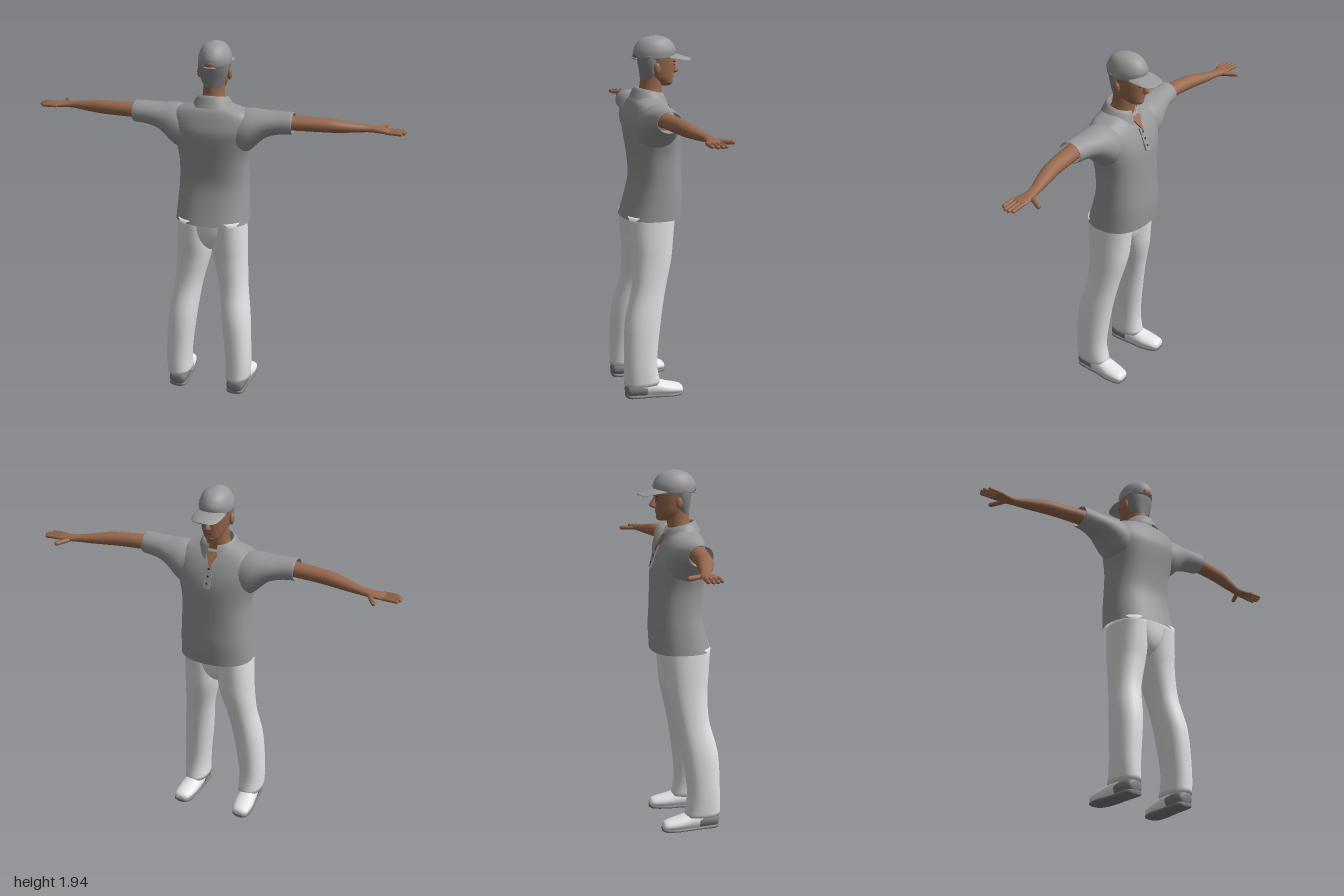
import * as THREE from 'three';

const mat = (name, color, side = THREE.FrontSide) =>
  Object.assign(new THREE.MeshStandardMaterial({ color, side }), { name });

// Skin a tube through cross-sections [position, centre1, centre2, radius1, radius2].
// Transverse axes: y -> (x, z), x -> (z, y), z -> (y, x).
function loft(axis, sections, { n = 28, power = 2, caps = true, steps = 4, gap = 0 } = {}) {
  const rows = [];
  const last = sections.length - 1;
  for (let i = 0; i < last; i++) {
    const [a, b, c, d] = [i - 1, i, i + 1, i + 2].map(k => sections[Math.min(last, Math.max(0, k))]);
    for (let s = 0; s < steps; s++) {
      const t = s / steps;
      rows.push(b.map((v, k) => v + 0.5 * t * (c[k] - a[k] + t * (2 * a[k] - 5 * v + 4 * c[k] - d[k]
        + t * (3 * (v - c[k]) + d[k] - a[k])))));
    }
  }
  rows.push(sections[last]);
  const place = { y: (p, u, v) => [u, p, v], x: (p, u, v) => [p, v, u], z: (p, u, v) => [v, u, p] }[axis];
  const bend = w => Math.sign(w) * Math.abs(w) ** (2 / power);
  const cols = gap ? n + 1 : n;
  const pos = [], index = [];
  for (const [p, c1, c2, r1, r2] of rows) {
    for (let j = 0; j < cols; j++) {
      const t = -Math.PI / 2 + gap + (j / n) * (2 * Math.PI - 2 * gap);
      pos.push(...place(p, c1 + r1 * bend(Math.cos(t)), c2 + r2 * bend(Math.sin(t))));
    }
  }
  for (let i = 0; i < rows.length - 1; i++) {
    for (let j = 0; j < n; j++) {
      const a = i * cols + j, b = i * cols + (j + 1) % cols;
      index.push(a, a + cols, b, b, a + cols, b + cols);
    }
  }
  if (caps) {
    for (const end of [0, rows.length - 1]) {
      const centre = pos.length / 3;
      pos.push(...place(...rows[end].slice(0, 3)));
      for (let j = 0; j < n; j++) {
        const a = end * cols + j, b = end * cols + (j + 1) % cols;
        index.push(centre, ...(end ? [b, a] : [a, b]));
      }
    }
  }
  const g = new THREE.BufferGeometry();
  g.setAttribute('position', new THREE.Float32BufferAttribute(pos, 3));
  g.setIndex(index);
  g.computeVertexNormals();
  return g;
}

// Shift y by a rule of the vertex position
function shiftY(g, rule) {
  const p = g.attributes.position;
  for (let i = 0; i < p.count; i++) p.setY(i, p.getY(i) + rule(p.getX(i), p.getY(i), p.getZ(i)));
  g.computeVertexNormals();
  return g;
}

function mirrored(source) {
  const g = source.clone().scale(-1, 1, 1);
  const ix = g.index.array;
  for (let i = 0; i < ix.length; i += 3) [ix[i], ix[i + 1]] = [ix[i + 1], ix[i]];
  g.computeVertexNormals();
  return g;
}

const blob = (x, y, z, rx, ry, rz) => new THREE.SphereGeometry(1, 16, 10).scale(rx, ry, rz).translate(x, y, z);

function finger(from, to, r) {
  const a = new THREE.Vector3(...from), b = new THREE.Vector3(...to), d = b.clone().sub(a);
  const turn = new THREE.Quaternion().setFromUnitVectors(new THREE.Vector3(0, 1, 0), d.clone().normalize());
  return new THREE.CapsuleGeometry(r, d.length() - 2 * r, 4, 8).applyQuaternion(turn)
    .translate(...a.add(b).multiplyScalar(0.5).toArray());
}

export function createModel() {
  const model = new THREE.Group();
  model.name = 'standingMan';
  const skin = mat('skin', 0x98694e), lip = mat('lips', 0x7d5040), hair = mat('hair', 0x858585);
  const shirt = mat('shirt', 0x989898, THREE.DoubleSide), cap = mat('cap', 0x9a9a9a, THREE.DoubleSide);
  const trousers = mat('trousers', 0xe2e2e2), shoe = mat('shoe', 0xe6e6e6);
  const sole = mat('sole', 0x7c7c7c), dark = mat('darkDetail', 0x3a2c26);

  const add = (name, g, m) => {
    const mesh = new THREE.Mesh(g, m);
    mesh.name = name;
    model.add(mesh);
  };
  const pair = (name, g, m) => {
    add(name + 'Left', g, m);
    add(name + 'Right', mirrored(g), m);
  };

  // Shirt
  add('shirtBody', loft('y', [
    [0.98, 0, 0.018, 0.2, 0.162], [1.1, 0, -0.003, 0.193, 0.147], [1.2, 0, -0.01, 0.187, 0.135],
    [1.32, 0, -0.003, 0.187, 0.138], [1.42, 0, 0.007, 0.208, 0.143], [1.49, 0, 0.018, 0.23, 0.137],
    [1.55, 0, 0.025, 0.23, 0.115], [1.59, 0, 0.032, 0.19, 0.093], [1.612, 0, 0.035, 0.13, 0.075],
    [1.63, 0, 0.03, 0.08, 0.06]], { n: 40, power: 2.4, caps: false }), shirt);
  pair('sleeve', loft('x', [
    [0.14, 0.02, 1.48, 0.11, 0.115], [0.2, 0.02, 1.492, 0.112, 0.112], [0.28, 0.022, 1.527, 0.09, 0.073],
    [0.35, 0.027, 1.54, 0.074, 0.06], [0.42, 0.03, 1.545, 0.067, 0.057], [0.421, 0.03, 1.545, 0.061, 0.051],
    [0.36, 0.03, 1.545, 0.06, 0.05]], { caps: false }), shirt);
  add('collar', shiftY(loft('y', [
    [1.585, 0, 0.02, 0.118, 0.106], [1.652, 0, 0.02, 0.08, 0.076], [1.61, 0, 0.02, 0.072, 0.068]],
    { caps: false, gap: 0.28, steps: 3 }), (x, y, z) => 0.25 * z), shirt);
  add('placket', new THREE.BoxGeometry(0.036, 0.125, 0.008).rotateX(0.38).translate(0, 1.487, -0.121), shirt);
  for (const [y, z] of [[1.525, -0.111], [1.49, -0.125], [1.455, -0.139]]) {
    add('button', blob(0, y, z, 0.006, 0.006, 0.004), dark);
  }
  const opening = new THREE.Shape([[-0.035, 0.04], [0, -0.045], [0.035, 0.04]].map(p => new THREE.Vector2(...p)));
  add('neckOpening', new THREE.ExtrudeGeometry(opening, { depth: 0.008, bevelEnabled: false })
    .rotateX(0.64).translate(0, 1.572, -0.086), skin);

  // Arms and hands
  pair('arm', loft('x', [
    [0.34, 0.033, 1.545, 0.05, 0.04], [0.45, 0.022, 1.545, 0.047, 0.038], [0.55, 0.012, 1.543, 0.043, 0.037],
    [0.63, 0, 1.54, 0.042, 0.035], [0.72, -0.022, 1.533, 0.035, 0.027], [0.8, -0.042, 1.528, 0.027, 0.019],
    [0.85, -0.047, 1.525, 0.034, 0.016], [0.9, -0.042, 1.522, 0.04, 0.012], [0.915, -0.042, 1.521, 0.036, 0.007]],
    { n: 20 }), skin);
  [[-0.073, 0.99], [-0.052, 1], [-0.03, 0.997], [-0.007, 0.98]].forEach(([z, tip]) =>
    pair('finger', finger([0.89, 1.522, z * 0.95], [tip, 1.52, z], 0.0095), skin));
  pair('thumb', finger([0.835, 1.523, -0.055], [0.888, 1.52, -0.148], 0.012), skin);

  // Trousers
  pair('trouserLeg', loft('y', [
    [0.075, 0.168, 0.105, 0.068, 0.1], [0.2, 0.169, 0.114, 0.07, 0.09], [0.42, 0.152, 0.097, 0.077, 0.098],
    [0.6, 0.128, 0.058, 0.077, 0.093], [0.75, 0.105, 0.037, 0.09, 0.108], [0.85, 0.096, 0.035, 0.096, 0.118],
    [1, 0.095, 0.033, 0.09, 0.13]], { power: 2.2 }), trousers);
  add('trouserSeat', loft('y', [
    [0.82, 0, 0.035, 0.03, 0.06], [0.86, 0, 0.035, 0.085, 0.1], [0.92, 0, 0.034, 0.15, 0.122],
    [1, 0, 0.033, 0.182, 0.13]]), trousers);

  // Shoes
  const flat = (x, y) => Math.max(0, 0.012 - y);
  pair('shoe', shiftY(loft('z', [
    [-0.118, 0.028, 0.182, 0.012, 0.02], [-0.1, 0.033, 0.182, 0.025, 0.045], [-0.03, 0.04, 0.177, 0.036, 0.057],
    [0.05, 0.05, 0.17, 0.05, 0.054], [0.12, 0.05, 0.166, 0.05, 0.05], [0.18, 0.045, 0.165, 0.038, 0.044],
    [0.193, 0.042, 0.165, 0.02, 0.024]], { n: 20 }), flat), shoe);
  pair('heelCounter', shiftY(loft('z', [
    [0.085, 0.045, 0.167, 0.045, 0.054], [0.13, 0.047, 0.166, 0.046, 0.053], [0.182, 0.045, 0.165, 0.04, 0.046],
    [0.197, 0.042, 0.165, 0.02, 0.026]], { n: 20 }), flat), sole);
  pair('shoeSole', loft('z', [
    [-0.12, 0.014, 0.182, 0.009, 0.02], [-0.1, 0.011, 0.182, 0.011, 0.045], [-0.03, 0.011, 0.177, 0.011, 0.059],
    [0.06, 0.011, 0.17, 0.011, 0.053], [0.17, 0.012, 0.165, 0.012, 0.05], [0.195, 0.013, 0.165, 0.011, 0.028]],
    { n: 20, power: 3 }), sole);

  // Head and neck
  add('neck', loft('y', [
    [1.57, 0, 0.028, 0.075, 0.07], [1.62, 0, 0.02, 0.066, 0.064], [1.67, 0, 0.01, 0.057, 0.06],
    [1.74, 0, 0.004, 0.056, 0.06]]), skin);
  add('head', loft('y', [
    [1.676, 0, -0.065, 0.02, 0.03], [1.688, 0, -0.058, 0.04, 0.048], [1.72, 0, -0.035, 0.059, 0.076],
    [1.76, 0, -0.027, 0.069, 0.089], [1.8, 0, -0.025, 0.075, 0.095], [1.84, 0, -0.02, 0.077, 0.096],
    [1.89, 0, -0.015, 0.055, 0.075]]), skin);
  add('hair', loft('y', [
    [1.705, 0, 0.03, 0.045, 0.035], [1.75, 0, 0.02, 0.068, 0.05], [1.8, 0, 0.022, 0.08, 0.056],
    [1.84, 0, 0.022, 0.08, 0.06]]), hair);
  pair('ear', blob(0.081, 1.773, -0.003, 0.012, 0.03, 0.018), skin);
  add('nose', loft('y', [
    [1.742, 0, -0.118, 0.01, 0.01], [1.75, 0, -0.124, 0.017, 0.018], [1.762, 0, -0.126, 0.014, 0.019],
    [1.79, 0, -0.116, 0.008, 0.011], [1.805, 0, -0.11, 0.006, 0.008]], { n: 12 }), skin);
  add('mouth', blob(0, 1.724, -0.108, 0.024, 0.006, 0.006), lip);
  add('chin', blob(0, 1.694, -0.092, 0.024, 0.017, 0.018), skin);
  pair('eye', blob(0.028, 1.786, -0.109, 0.011, 0.005, 0.005), dark);
  pair('eyebrow', blob(0.03, 1.803, -0.11, 0.017, 0.004, 0.006), dark);

  // Cap
  add('capCrown', loft('y', [
    [1.822, 0, -0.009, 0.083, 0.106], [1.86, 0, -0.012, 0.084, 0.114], [1.9, 0, -0.012, 0.07, 0.095],
    [1.925, 0, -0.012, 0.047, 0.064], [1.938, 0, -0.012, 0.012, 0.016]], { n: 32 }), cap);
  add('capButton', blob(0, 1.937, -0.012, 0.008, 0.004, 0.008), cap);
  add('capBrim', shiftY(loft('z', [
    [-0.207, 1.814, 0, 0.003, 0.012], [-0.198, 1.815, 0, 0.005, 0.042], [-0.17, 1.822, 0, 0.006, 0.067],
    [-0.12, 1.837, 0, 0.006, 0.079], [-0.07, 1.842, 0, 0.006, 0.078]]), x => -2.8 * x * x), cap);
  add('capBackOpening', blob(0, 1.836, 0.094, 0.028, 0.018, 0.012), skin);
  add('capStrap', blob(0, 1.822, 0.096, 0.034, 0.006, 0.014), cap);
  return model;
}
